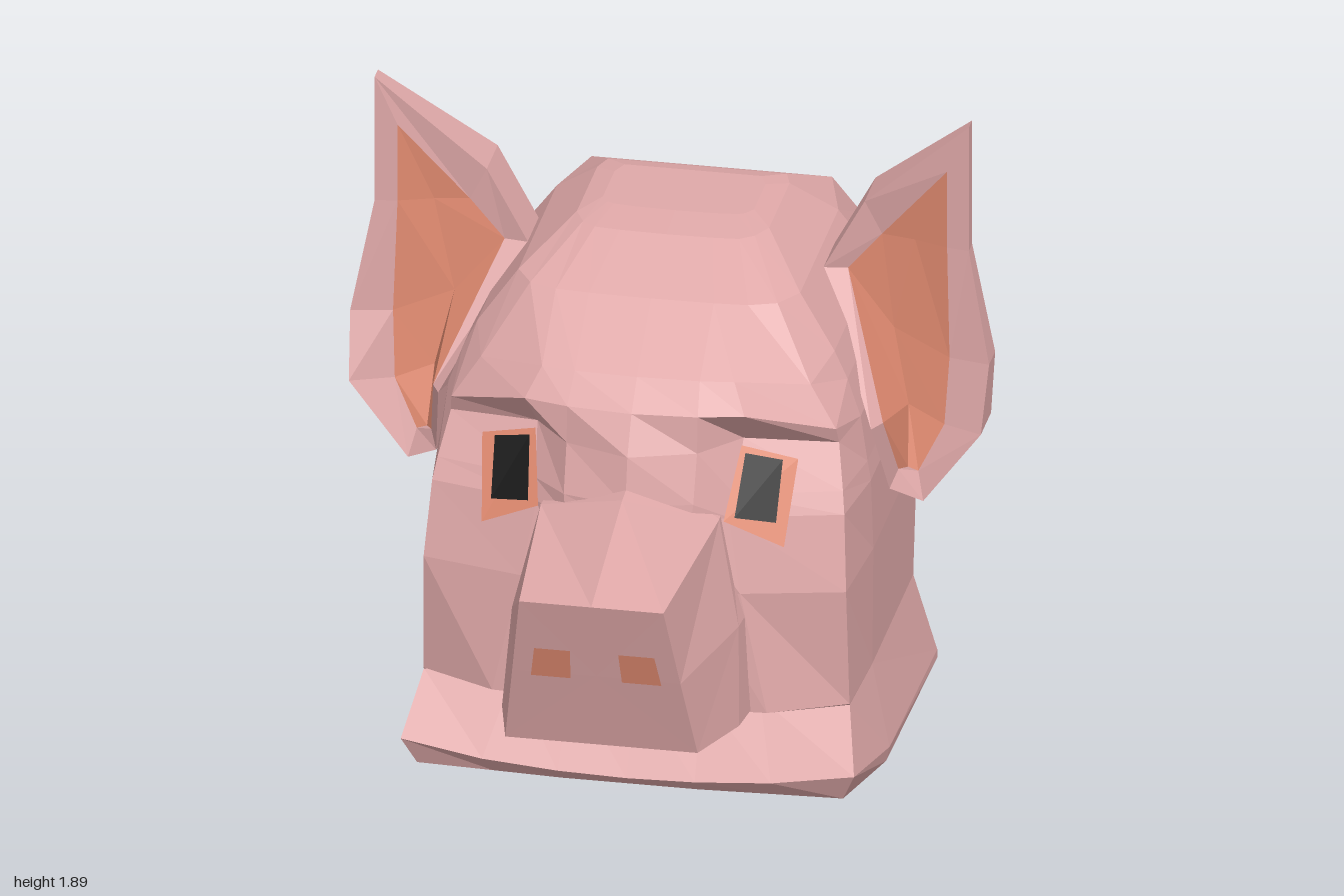
import * as THREE from 'three';

const paint = (color) =>
  new THREE.MeshStandardMaterial({ color, flatShading: true, side: THREE.DoubleSide });

// Turns a list of triangles (each three [x, y, z] points) into a named mesh
function facets(name, triangles, material) {
  const geometry = new THREE.BufferGeometry();
  geometry.setAttribute('position', new THREE.Float32BufferAttribute(triangles.flat(2), 3));
  geometry.computeVertexNormals();
  const mesh = new THREE.Mesh(geometry, material);
  mesh.name = name;
  return mesh;
}

const mirror = ([x, y, z]) => [-x, y, z];
// Closes a half section (first and last points lie on x = 0) into a full ring
const fullRing = (half) => [...half, ...half.filter((p) => p[0] > 0).reverse().map(mirror)];

function fan(ring, flip) {
  const c = [0, 1, 2].map((k) => ring.reduce((s, p) => s + p[k], 0) / ring.length);
  return ring.map((p, i) => {
    const q = ring[(i + 1) % ring.length];
    return flip ? [c, q, p] : [c, p, q];
  });
}

const quad = (a, b, c, d) => [[a, b, c], [a, c, d]];

// Joins successive rings of equal length, optionally capping the ends
function loft(rings, capStart, capEnd) {
  const out = [];
  for (let r = 0; r + 1 < rings.length; r++) {
    const a = rings[r], b = rings[r + 1];
    a.forEach((p, i) => {
      const j = (i + 1) % a.length;
      out.push(...quad(p, b[i], b[j], a[j]));
    });
  }
  if (capStart) out.push(...fan(rings[0], false));
  if (capEnd) out.push(...fan(rings[rings.length - 1], true));
  return out;
}

export function createModel() {
  const group = new THREE.Group();
  const pink = paint(0xdfa8a8), orange = paint(0xe08a70), black = paint(0x181818);

  // Head sections: y, back corner x z, side x, rear z, front z, cheek x z, beside eye x z, centre z, cheek drop
  const headRows = [
    [0.28, 0.5, -0.84, 0.63, -0.55, 0.05, 0.62, 0.33, 0.36, 0.335, 0.335, 0],
    [0.285, 0.5, -0.84, 0.63, -0.55, 0.05, 0.62, 0.335, 0.4, 0.44, 0.46, 0],
    [0.65, 0.52, -0.94, 0.635, -0.58, 0.06, 0.615, 0.36, 0.32, 0.43, 0.46, 0],
    [0.87, 0.5, -1, 0.63, -0.6, 0.07, 0.6, 0.31, 0.28, 0.39, 0.5, 0],
    [0.93, 0.5, -1, 0.62, -0.6, 0.07, 0.59, 0.28, 0.29, 0.36, 0.5, 0],
    [1.07, 0.48, -0.97, 0.6, -0.6, 0.07, 0.565, 0.21, 0.3, 0.275, 0.47, 0.02],
    [1.18, 0.44, -0.9, 0.56, -0.59, 0.06, 0.56, 0.23, 0.32, 0.365, 0.41, 0.08],
    [1.26, 0.42, -0.86, 0.52, -0.58, 0.05, 0.48, 0.2, 0.28, 0.31, 0.33, 0.04],
    [1.41, 0.35, -0.77, 0.41, -0.56, 0, 0.36, 0.08, 0.28, 0.11, 0.12, 0],
    [1.51, 0.26, -0.56, 0.28, -0.5, -0.2, 0.25, -0.14, 0.21, -0.11, -0.1, 0],
    [1.525, 0.2, -0.5, 0.22, -0.45, -0.28, 0.2, -0.25, 0.18, -0.24, -0.23, 0],
  ];
  const headRings = headRows.map(([y, bx, bz, sx, rz, sz, cx, cz, ex, ez, mz, drop]) =>
    fullRing([
      [0, y, bz], [bx, y, bz], [sx, y, rz], [sx, y, sz], [cx, y - drop, cz],
      [ex, y, ez], [Math.min(0.19, ex * 0.65), y, (ez + 2 * mz) / 3], [0, y, mz],
    ]));
  group.add(facets('head', loft(headRings, false, true), pink));

  // Flared collar, hollow up into the neck
  const lipTop = fullRing([
    [0, 0.025, -1], [0.55, 0.025, -1], [0.69, 0.025, -0.6], [0.69, 0.045, 0.1],
    [0.66, 0.12, 0.47], [0.42, 0.085, 0.485], [0.2, 0.07, 0.49], [0, 0.065, 0.49],
  ]);
  const lipBottom = fullRing([
    [0, 0, -1], [0.55, 0, -1], [0.69, 0, -0.6], [0.68, 0, 0.1],
    [0.62, 0.03, 0.43], [0.4, 0.02, 0.42], [0.2, 0.015, 0.42], [0, 0.015, 0.42],
  ]);
  const inset = (ring, s, y) => ring.map(([x, , z]) => [x * s, y, (z + 0.26) * s - 0.26]);
  const neck = headRings[0];
  const collar = [
    inset(neck, 0.9, 0.5), inset(neck, 0.9, 0.28), inset(lipBottom, 0.92, 0.02), lipBottom, lipTop, neck,
  ];
  group.add(facets('collar', loft(collar, true, false), pink));

  // Snout: root, bridge and tip sections
  const snout = [
    [[0, 1.0, 0.3], [0.25, 0.88, 0.3], [0.34, 0.58, 0.33], [0.36, 0.282, 0.34], [0, 0.282, 0.34]],
    [[0, 0.97, 0.545], [0.26, 0.88, 0.43], [0.33, 0.58, 0.5], [0.345, 0.3, 0.57], [0, 0.3, 0.57]],
    [[0, 0.845, 1], [0.21, 0.845, 1], [0.245, 0.59, 0.925], [0.28, 0.34, 0.85], [0, 0.34, 0.85]],
  ].map(fullRing);
  group.add(facets('snout', loft(snout, false, true), pink));

  // Ear sections, listed from the tip: back face, front rim
  const earBack = [
    [0.865, 1.89, -0.23], [0.55, 1.6, -0.4], [0.43, 1.38, -0.4], [0.58, 1.0, -0.23], [0.65, 0.76, -0.18],
    [0.75, 0.74, -0.18], [0.92, 0.97, -0.23], [0.93, 1.16, -0.24], [0.865, 1.5, -0.23],
  ];
  const earFront = [
    [0.865, 1.89, -0.18], [0.55, 1.6, -0.24], [0.43, 1.38, -0.24], [0.63, 1.03, 0.07], [0.66, 0.79, -0.05],
    [0.75, 0.74, -0.09], [0.92, 0.97, -0.08], [0.93, 1.16, -0.15], [0.865, 1.5, -0.18],
  ];
  // Lining rows from tip to base: inner edge, hollow, outer edge
  const tip = [0.8, 1.74, -0.19];
  const lining = [
    [tip, tip, tip],
    [[0.6, 1.5, -0.245], [0.7, 1.5, -0.225], [0.8, 1.5, -0.19]],
    [[0.5, 1.38, -0.25], [0.64, 1.22, -0.22], [0.81, 1.16, -0.175]],
    [[0.655, 1.03, 0.02], [0.69, 1.0, -0.18], [0.8, 0.96, -0.15]],
    [[0.68, 0.84, -0.08], [0.7, 0.83, -0.12], [0.73, 0.82, -0.12]],
  ];
  const liningEdge = [
    ...lining.map((row) => row[0]), ...lining.slice(1).reverse().map((row) => row[2]),
  ];

  // Eye socket corners: lower inner, lower outer, upper outer, upper inner
  const eye = [[0.27, 0.87, 0.42], [0.44, 0.79, 0.39], [0.46, 1.02, 0.28], [0.3, 1.06, 0.305]];
  const onEye = (u, v) => [0, 1, 2].map((k) => {
    const low = eye[0][k] * (1 - u) + eye[1][k] * u;
    const high = eye[3][k] * (1 - u) + eye[2][k] * u;
    return low * (1 - v) + high * v + (k === 2 ? 0.012 : 0);
  });
  const pupil = [onEye(0.16, 0.12), onEye(0.82, 0.25), onEye(0.75, 0.97), onEye(0.1, 0.94)];

  // Nostrils lie on the sloping front of the snout
  const onSnout = (x, y) => [x, y, 0.856 + (0.15 * (y - 0.34)) / 0.505];
  const nostril = [onSnout(0.075, 0.58), onSnout(0.19, 0.58), onSnout(0.175, 0.68), onSnout(0.07, 0.68)];

  for (const [side, sign] of [['left', 1], ['right', -1]]) {
    const place = (ring) => (sign > 0 ? [...ring].reverse() : ring.map(mirror));
    const face = (pts) => (sign > 0 ? pts : pts.map(mirror).reverse());
    const liningFaces = lining.slice(1).flatMap((row, r) => [0, 1].flatMap((c) =>
      quad(...face([lining[r][c], row[c], row[c + 1], lining[r][c + 1]]))));
    group.add(
      facets(side + 'Ear', loft([earBack, earFront, liningEdge].map(place), true, false), pink),
      facets(side + 'EarLining', liningFaces, orange),
      facets(side + 'EyeSocket', quad(...face(eye)), orange),
      facets(side + 'Pupil', quad(...face(pupil)), black),
      facets(side + 'Nostril', quad(...face(nostril)), orange),
    );
  }
  return group;
}
